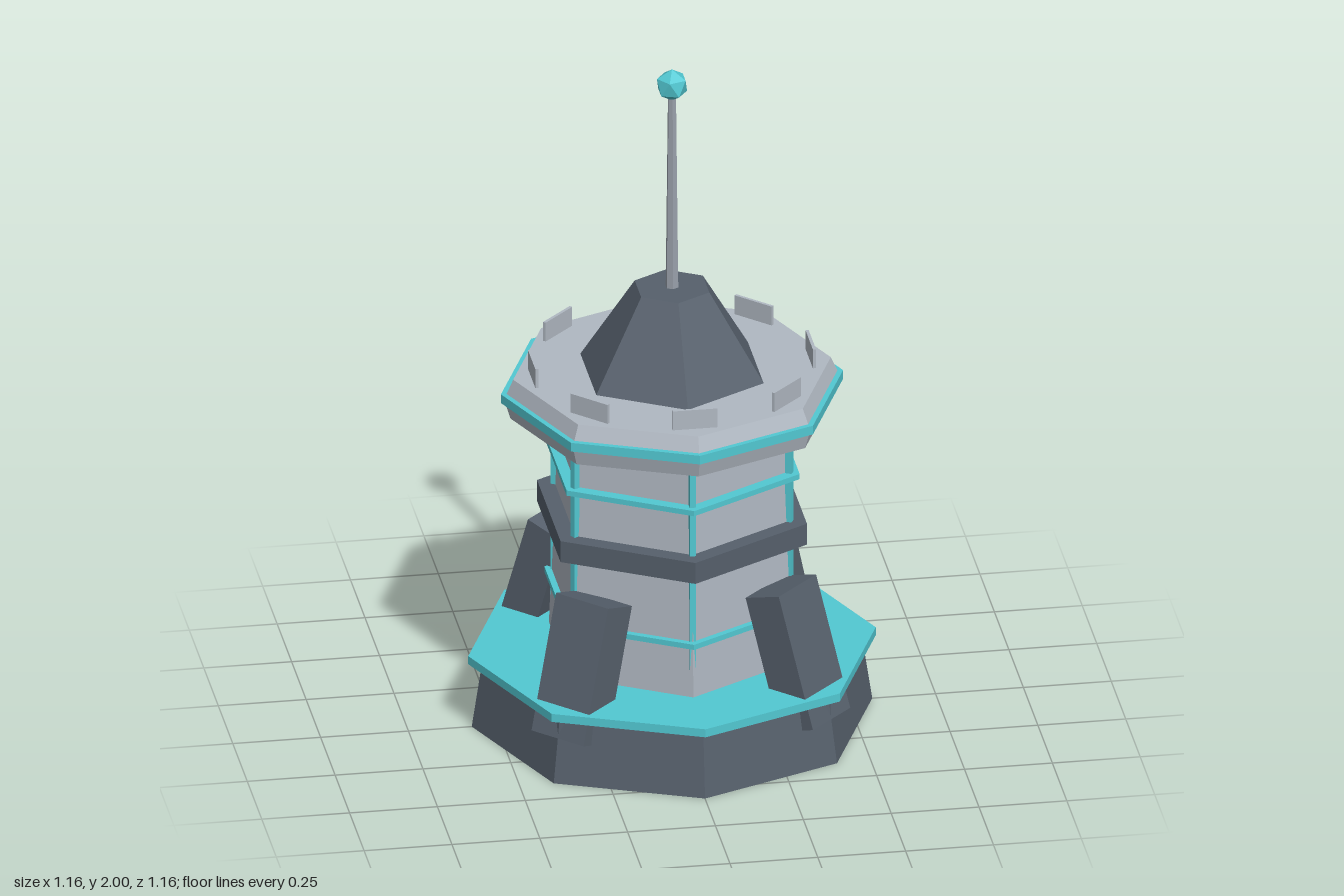
import * as THREE from 'three';

const material = (name, color) => {
  const m = new THREE.MeshStandardMaterial({ color });
  m.name = name;
  return m;
};

export function createModel() {
  const tower = new THREE.Group();
  tower.name = 'watchtower';
  const light = material('light grey', 0xb0b8c2);
  const steel = material('steel grey', 0x9aa1ab);
  const dark = material('slate', 0x56606c);
  const teal = material('teal', 0x52c8d2);

  const add = (name, geometry, mat, parent = tower) => {
    // separate the corners so every facet stays flat
    const flat = geometry.index ? geometry.toNonIndexed() : geometry;
    flat.computeVertexNormals();
    const mesh = new THREE.Mesh(flat, mat);
    mesh.name = name;
    parent.add(mesh);
    return mesh;
  };

  // upright faceted drum from y0 to y1, with a corner towards the front
  const drum = (name, sides, y0, y1, r0, r1, mat) => {
    const mesh = add(name, new THREE.CylinderGeometry(r1, r0, y1 - y0, sides), mat);
    mesh.position.y = (y0 + y1) / 2;
    return mesh;
  };

  // repeat a part around the tower; build receives a pivot whose +z points outwards
  const around = (name, count, start, build) => {
    for (let i = 0; i < count; i++) {
      const pivot = new THREE.Group();
      pivot.name = name + (i + 1);
      pivot.rotation.y = start + (i * Math.PI * 2) / count;
      build(pivot);
      tower.add(pivot);
    }
  };

  // base and its walkway
  drum('base', 8, 0, 0.2, 0.57, 0.54, dark);
  drum('walkway', 8, 0.195, 0.22, 0.58, 0.58, teal);

  // six-sided shaft with bands
  drum('shaft', 6, 0.2, 0.95, 0.37, 0.34, light);
  drum('shaftBand', 6, 0.59, 0.655, 0.405, 0.405, dark);
  drum('upperRing', 6, 0.79, 0.806, 0.383, 0.383, teal);
  drum('lowerRing', 6, 0.374, 0.39, 0.383, 0.383, teal);

  // light strips on the shaft corners
  around('cornerStrip', 6, 0, (pivot) => {
    const strip = add('strip', new THREE.BoxGeometry(0.018, 0.68, 0.018), teal, pivot);
    strip.position.set(0, 0.6, 0.352);
  });

  // leaning buttresses on the diagonals
  around('buttress', 4, Math.PI / 4, (pivot) => {
    const block = add('block', new THREE.BoxGeometry(0.18, 0.4, 0.12), dark, pivot);
    block.position.set(0, 0.306, 0.435);
    block.rotation.x = -0.3;
  });

  // platform with a teal rim
  drum('platformLower', 8, 0.95, 1.01, 0.46, 0.478, light);
  drum('platformUpper', 8, 1.01, 1.07, 0.478, 0.452, light);
  drum('platformRim', 8, 1.0, 1.027, 0.487, 0.487, teal);

  // parapet plates
  around('parapet', 8, 0, (pivot) => {
    const plate = add('plate', new THREE.BoxGeometry(0.128, 0.065, 0.009), light, pivot);
    plate.position.set(0, 1.096, 0.395);
  });

  // roof, mast and beacon
  drum('roof', 6, 1.07, 1.325, 0.275, 0.112, dark);
  drum('mast', 6, 1.32, 1.93, 0.019, 0.012, steel);
  const beacon = add('beacon', new THREE.IcosahedronGeometry(0.048, 0), teal);
  beacon.position.y = 1.952;
  beacon.rotation.z = Math.atan(2 / (1 + Math.sqrt(5)));

  return tower;
}
